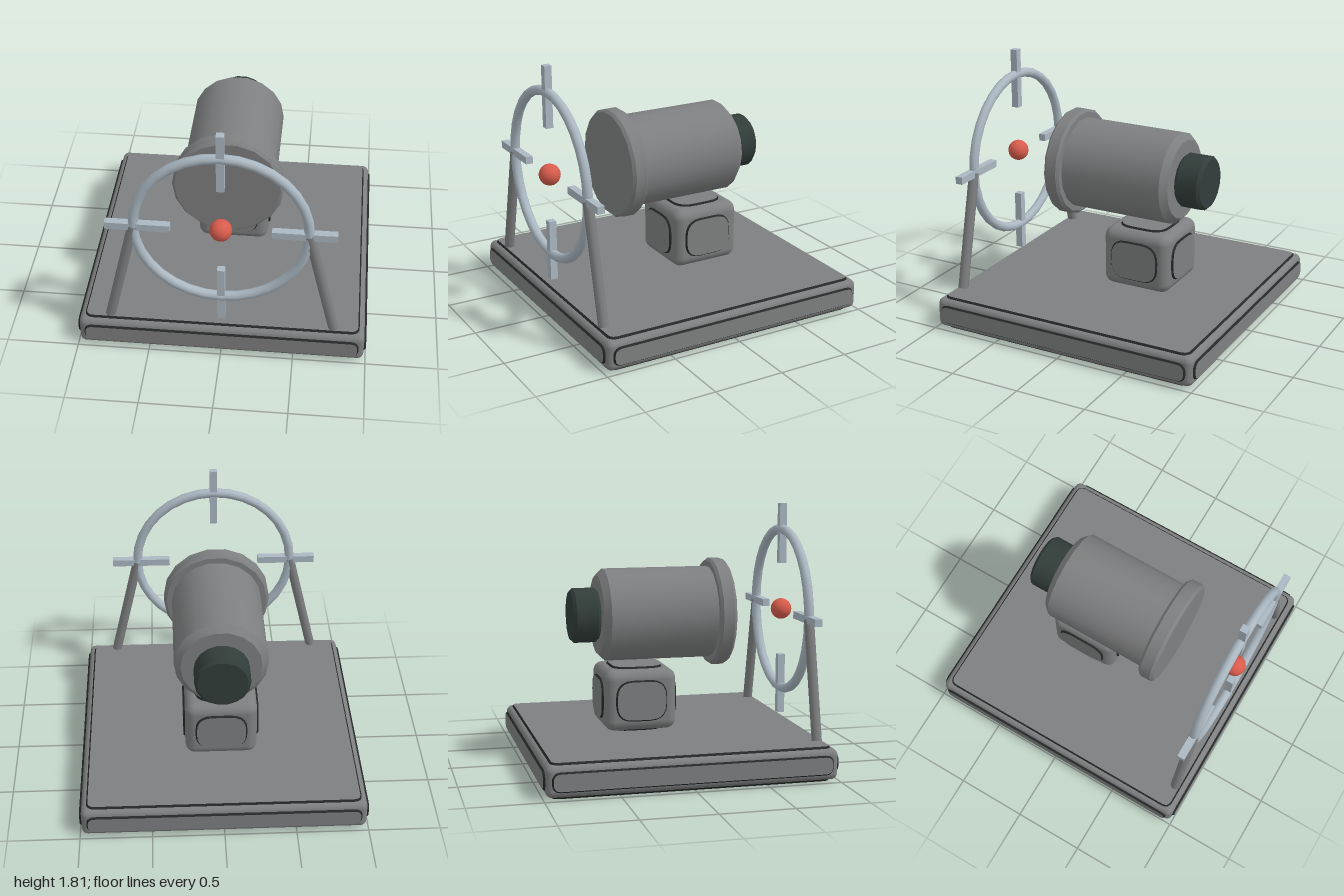
import * as THREE from 'three';
import { toCreasedNormals } from 'three/addons/utils/BufferGeometryUtils.js';
import { RoundedBoxGeometry } from 'three/addons/geometries/RoundedBoxGeometry.js';

const material = (name, color) => {
  const m = new THREE.MeshStandardMaterial({ color });
  m.name = name;
  return m;
};

export function createModel() {
  const grey = material('bodyGrey', 0x7e7f80);
  const dark = material('panelEdgeBlack', 0x262828);
  const steel = material('paleSteel', 0xabb8c2);
  const rubber = material('darkKnob', 0x323d3a);
  const red = material('redBead', 0xd95c4c);

  const model = new THREE.Group();
  model.name = 'sightDevice';

  const add = (name, geometry, mat, parent = model) => {
    const mesh = new THREE.Mesh(geometry, mat);
    mesh.name = name;
    parent.add(mesh);
    return mesh;
  };

  const roundedRect = (w, h, r) => {
    const x = w / 2, y = h / 2, s = new THREE.Shape();
    s.moveTo(-x + r, -y);
    s.lineTo(x - r, -y).quadraticCurveTo(x, -y, x, -y + r);
    s.lineTo(x, y - r).quadraticCurveTo(x, y, x - r, y);
    s.lineTo(-x + r, y).quadraticCurveTo(-x, y, -x, y - r);
    s.lineTo(-x, -y + r).quadraticCurveTo(-x, -y, -x + r, -y);
    return s;
  };

  // Raised plate with a dark bevel, facing +z, its foot at z = 0
  const plate = (w, h, r) => {
    const g = new THREE.ExtrudeGeometry(roundedRect(w, h, r), {
      depth: 0.004, bevelEnabled: true, bevelThickness: 0.013,
      bevelSize: 0.01, bevelSegments: 1, curveSegments: 5,
    });
    return g.translate(0, 0, -0.004);
  };

  // Rounded square block with a raised plate on each of its six faces
  const panelledBlock = (name, side, height, radius, plateSide, plateHeight, corner) => {
    const block = new THREE.Group();
    block.name = name;
    add(name + 'Body', new RoundedBoxGeometry(side, height, side, 3, radius), grey, block);
    for (let i = 0; i < 4; i++) {
      const g = plate(plateSide, plateHeight, corner)
        .translate(0, 0, side / 2).rotateY(i * Math.PI / 2);
      add(name + 'SidePanel', g, [grey, dark], block);
    }
    for (const s of [1, -1]) {
      const g = plate(plateSide, plateSide, corner)
        .translate(0, 0, height / 2).rotateX(-s * Math.PI / 2);
      add(name + (s > 0 ? 'TopPanel' : 'BottomPanel'), g, [grey, dark], block);
    }
    model.add(block);
    return block;
  };

  panelledBlock('base', 1.974, 0.212, 0.045, 1.88, 0.115, 0.05).position.y = 0.119;
  panelledBlock('pedestal', 0.51, 0.43, 0.07, 0.345, 0.27, 0.11).position.set(0, 0.465, -0.195);

  // Turned parts along z: profile of [radius, z] from back to front
  const axisY = 1.045;
  const turned = (name, profile, mat) => {
    const points = profile.map(([r, z]) => new THREE.Vector2(r, z));
    const g = new THREE.LatheGeometry(points, 18, Math.PI / 2).rotateX(Math.PI / 2);
    add(name, toCreasedNormals(g, 0.6), mat).position.y = axisY;
  };
  turned('barrel', [[0, -0.46], [0.28, -0.46], [0.325, -0.415], [0.325, 0.35], [0, 0.35]], grey);
  turned('frontFlange', [[0, 0.345], [0.365, 0.345], [0.383, 0.363], [0.383, 0.442],
    [0.365, 0.462], [0, 0.462]], grey);
  turned('rearKnob', [[0, -0.652], [0.172, -0.652], [0.192, -0.632], [0.192, -0.48],
    [0.172, -0.458], [0, -0.458]], rubber);

  // Ring sight with four cross bars, a bead and two legs
  const sight = new THREE.Group();
  sight.name = 'ringSight';
  sight.position.set(0, axisY, 0.907);
  model.add(sight);
  add('ring', new THREE.TorusGeometry(0.58, 0.034, 10, 32), steel, sight);
  for (let i = 0; i < 4; i++) {
    const g = new THREE.BoxGeometry(0.43, 0.052, 0.052)
      .translate(0.55, 0, 0).rotateZ(i * Math.PI / 2);
    add('crossBar', g, steel, sight);
  }
  add('bead', new THREE.SphereGeometry(0.075, 16, 12), red, sight);
  for (const s of [1, -1]) {
    const top = new THREE.Vector3(s * 0.58, 0, 0);
    const foot = new THREE.Vector3(s * 0.77, -0.808, 0);
    const up = top.clone().sub(foot);
    const leg = add(s > 0 ? 'leftLeg' : 'rightLeg',
      new THREE.CylinderGeometry(0.036, 0.036, up.length(), 10), grey, sight);
    leg.position.copy(top).add(foot).multiplyScalar(0.5);
    leg.quaternion.setFromUnitVectors(new THREE.Vector3(0, 1, 0), up.normalize());
  }

  return model;
}
